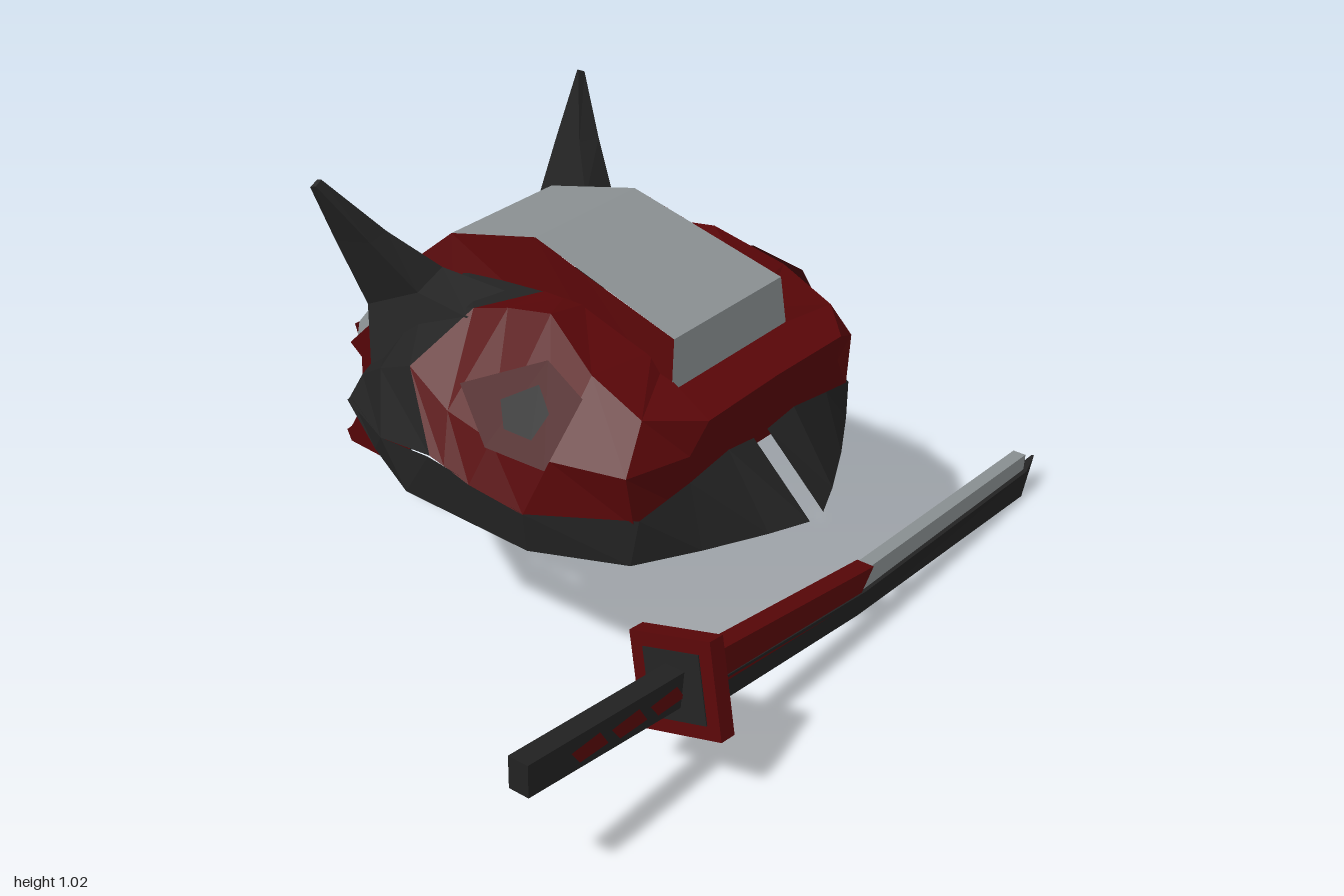
import * as THREE from 'three';

const mat = (name, color) => {
  const m = new THREE.MeshStandardMaterial({ color, flatShading: true, side: THREE.DoubleSide });
  m.name = name;
  return m;
};

export function createModel() {
  const model = new THREE.Group();
  const red = mat('lacquer red', 0x580608);
  const deepRed = mat('deep red', 0x460608);
  const dark = mat('charcoal', 0x222222);
  const grey = mat('steel grey', 0x8a9092);

  const add = (name, geometry, material) => {
    const mesh = new THREE.Mesh(geometry, material);
    mesh.name = name;
    model.add(mesh);
    return mesh;
  };

  // Triangles from a list of polygons, each a fan of points
  const faces = (polys) => {
    const v = [];
    for (const p of polys)
      for (let i = 1; i < p.length - 1; i++) v.push(...p[0], ...p[i], ...p[i + 1]);
    const g = new THREE.BufferGeometry();
    g.setAttribute('position', new THREE.Float32BufferAttribute(v, 3));
    g.computeVertexNormals();
    return g;
  };

  // Surface through successive cross-sections; closed rings get end caps
  const loft = (rows, closed = false) => {
    const polys = [];
    const n = rows[0].length;
    for (let i = 0; i < rows.length - 1; i++)
      for (let j = 0; j < (closed ? n : n - 1); j++) {
        const k = (j + 1) % n;
        polys.push([rows[i][j], rows[i][k], rows[i + 1][k], rows[i + 1][j]]);
      }
    if (closed) polys.push([...rows[0]].reverse(), rows[rows.length - 1]);
    return faces(polys);
  };
  const flip = (rows, s) => rows.map((r) => {
    const out = r.map(([x, y, z]) => [x * s, y, z]);
    return s < 0 ? out.reverse() : out;
  });

  // Crest strip over the head: [half width, y, z]
  const crest = [[.205, .69, .312], [.19, .803, .305], [.17, .913, -.085],
    [.17, .853, -.33], [.2, .74, -.46], [.175, .54, -.635]];
  add('crest', loft(crest.map(([x, y, z]) => [[-x, y, z], [x, y, z]])), grey);

  // Edge where the red shell meets the dark temple
  const seam = [[.175, .8, -.05], [.3, .775, -.15], [.44, .673, -.21], [.515, .53, -.09]];
  const shell = [
    [[0, .69, .31], [0, .685, .435], [0, .6, .41], [0, .48, .365]],
    [[.19, .69, .31], [.24, .68, .435], [.27, .6, .41], [.27, .475, .365]],
    [[.185, .72, .27], [.34, .69, .34], [.41, .59, .355], [.39, .47, .36]],
    [[.18, .75, .24], [.34, .75, .21], [.465, .6, .2], [.5, .472, .155]],
    [[.175, .8, .055], [.285, .82, .055], [.475, .6, .05], [.515, .5, .02]],
    [[.175, .8, 0], [.29, .8, -.06], [.465, .62, -.08], [.515, .52, -.05]],
    seam,
  ];
  const temple = [
    seam,
    [[.175, .78, -.28], [.3, .74, -.3], [.43, .63, -.31], [.5, .51, -.25]],
    [[.24, .64, -.42], [.3, .6, -.42], [.37, .55, -.43], [.4, .49, -.45]],
  ];
  const wall = [
    [[.19, .803, .305], [.205, .66, .312]],
    [[.178, .873, .055], [.185, .77, .055]],
    [[.17, .913, -.085], [.185, .76, -.1]],
    [[.17, .853, -.33], [.205, .7, -.3]],
    [[.2, .74, -.46], [.25, .59, -.4]],
  ];
  const bevel = [
    [[.2, .74, -.46], [.275, .655, -.45]],
    [[.175, .54, -.635], [.235, .525, -.585]],
  ];
  const jaw = [
    [[.025, .53, .397], [.025, .38, .55]],
    [[.12, .545, .4], [.12, .38, .51]],
    [[.25, .525, .398], [.26, .38, .44]],
    [[.385, .485, .37], [.4, .38, .36]],
    [[.5, .474, .155], [.49, .38, .156]],
    [[.52, .53, -.09], [.515, .414, -.165]],
    [[.5, .51, -.25], [.47, .45, -.3]],
    [[.4, .5, -.44], [.4, .49, -.453]],
  ];
  const horn = [
    [[.21, .785, -.12], [.32, .76, -.15], [.39, .6, -.38], [.26, .64, -.45]],
    [[.245, .81, -.29], [.335, .785, -.28], [.35, .72, -.42], [.27, .735, -.465]],
    [[.325, .9, -.375], [.385, .895, -.365], [.4, .88, -.455], [.345, .88, -.465]],
    [[.425, 1.03, -.46], [.445, 1.022, -.457], [.452, 1.02, -.467], [.43, 1.03, -.467]],
  ];

  // Eye outlines as [z, y], laid on the sloping cheek
  const eye = [[-.075, .673], [.05, .592], [.21, .594], [.227, .722], [.11, .76]];
  const pupil = [[.043, .677], [.08, .635], [.155, .635], [.17, .684], [.118, .722]];
  const onCheek = (pts, lift) => pts.map(([z, y]) => [.35 + (.76 - y) * .8 + lift, y, z]);

  // Neck guard side outline as [z, y], narrowing toward the bottom
  const neck = [[-.45, .665], [-.375, .57], [-.4, .48], [-.415, .315], [-.52, .225],
    [-.64, .235], [-.65, .265], [-.635, .275], [-.58, .36], [-.558, .5], [-.59, .53]];
  const neckShape = new THREE.Shape(neck.map(([z, y]) => new THREE.Vector2(-z, y)));

  for (const [s, side] of [[1, 'left'], [-1, 'right']]) {
    add(side + 'Shell', loft(flip(shell, s)), red);
    add(side + 'Temple', loft(flip(temple, s)), dark);
    add(side + 'CrestWall', loft(flip(wall, s)), red);
    add(side + 'CrestBevel', loft(flip(bevel, s)), grey);
    add(side + 'Jaw', loft(flip(jaw, s)), dark);
    add(side + 'Horn', loft(flip(horn, s), true), dark);
    add(side + 'Eye', faces(flip([onCheek(eye, .01)], s)), deepRed);
    add(side + 'Pupil', faces(flip([onCheek(pupil, .018)], s)), dark);

    const plate = new THREE.ExtrudeGeometry(neckShape, { depth: .035, bevelEnabled: false });
    plate.rotateY(Math.PI / 2).translate(s > 0 ? .2 : -.235, 0, 0);
    plate.applyMatrix4(new THREE.Matrix4().set(
      1, s * .1, 0, -s * .038, 0, 1, 0, 0, 0, 0, 1, 0, 0, 0, 0, 1));
    add(side + 'NeckSide', plate, red);

    const fang = add(side + 'Fang', new THREE.ConeGeometry(.012, .11, 4), grey);
    fang.position.set(s * .075, .33, -.668);
  }

  // Neck guard panels and lips spanning both sides, pointed at the lower back
  const across = (pts, w) => loft(pts.map(([z, y]) => [[-w, y, z], [w, y, z]]));
  add('neckInnerPanel', across([[-.39, .53], [-.42, .32], [-.47, .258]], .205), dark);
  add('neckUpperLip', across([[-.635, .54], [-.625, .512]], .19), red);
  const pointed = (build) => loft([-1, 0, 1].map((k) => build(k, k ? 0 : -.05)));
  add('neckBackPanel', pointed((k, tip) => [[k * .19, .512, -.625], [k * .21, .505, -.562],
    [k * .205, .36, -.582 + tip * .6], [k * .2, .272, -.637 + tip * .9]]), dark);
  add('neckLowerLip', pointed((k, tip) => [[k * .21, .258, -.47], [k * .21, .225, -.52],
    [k * .215, .237, -.64 + tip * .6], [k * .215, .265, -.65 + tip],
    [k * .205, .275, -.637 + tip * .8]]), red);

  // Sword: each section is [x top, y top, x bottom, y bottom, z]
  const bar = (sections, t) => loft(sections.map(([xt, yt, xb, yb, z]) => [
    [xt, yt, z + t], [xt, yt, z - t], [xb, yb, z - t], [xb, yb, z + t]]), true);
  const middle = [.18, .178, .125, .12, .57];
  add('bladeBase', bar([[-.48, .287, -.48, .197, .572], middle], .022), red);
  add('bladeSpine', bar([middle, [.925, .115, .92, .06, .545]], .017), grey);
  const edge = [[-.45, .21, -.445, .165, .572], [-.42, .205, -.42, .12, .572],
    [.145, .13, .157, .05, .572], [.915, .075, .905, .008, .558], [.99, .08, .99, .077, .55]];
  add('bladeEdge', loft(edge.map(([xt, yt, xb, yb, z], i) => {
    const t = i < 3 ? .024 : i < 4 ? .016 : .003;
    return [[xt, yt, z + t], [xt, yt, z - t], [xb, yb, z + (i === 3 ? .014 : 0)]];
  }), true), dark);
  add('handle', bar([[-.995, .35, -.995, .275, .572], [-.5, .288, -.5, .205, .572]], .024), dark);

  // Red wrap patches on both faces of the handle
  for (let i = 0; i < 3; i++) {
    const x = -.82 + i * .12, y = .3125 - (x + .995) * .135;
    for (const z of [.598, .546])
      add('handleWrap', faces([[[x - .055, y + .015, z], [x - .03, y - .02, z],
        [x + .055, y - .025, z], [x + .03, y + .015, z]]]), red);
  }

  // Guard: tilted square with dark inset faces
  const guard = new THREE.Group();
  guard.name = 'guard';
  const square = new THREE.Mesh(new THREE.BoxGeometry(.044, .212, .202), red);
  square.name = 'guardFrame';
  guard.add(square);
  for (const s of [1, -1]) {
    const inset = new THREE.Mesh(new THREE.BoxGeometry(.006, .15, .14), dark);
    inset.name = 'guardInset';
    inset.position.x = s * .022;
    guard.add(inset);
  }
  guard.rotation.set(-.26, 0, -.13, 'ZYX');
  guard.position.set(-.505, .247, .575);
  model.add(guard);

  return model;
}
